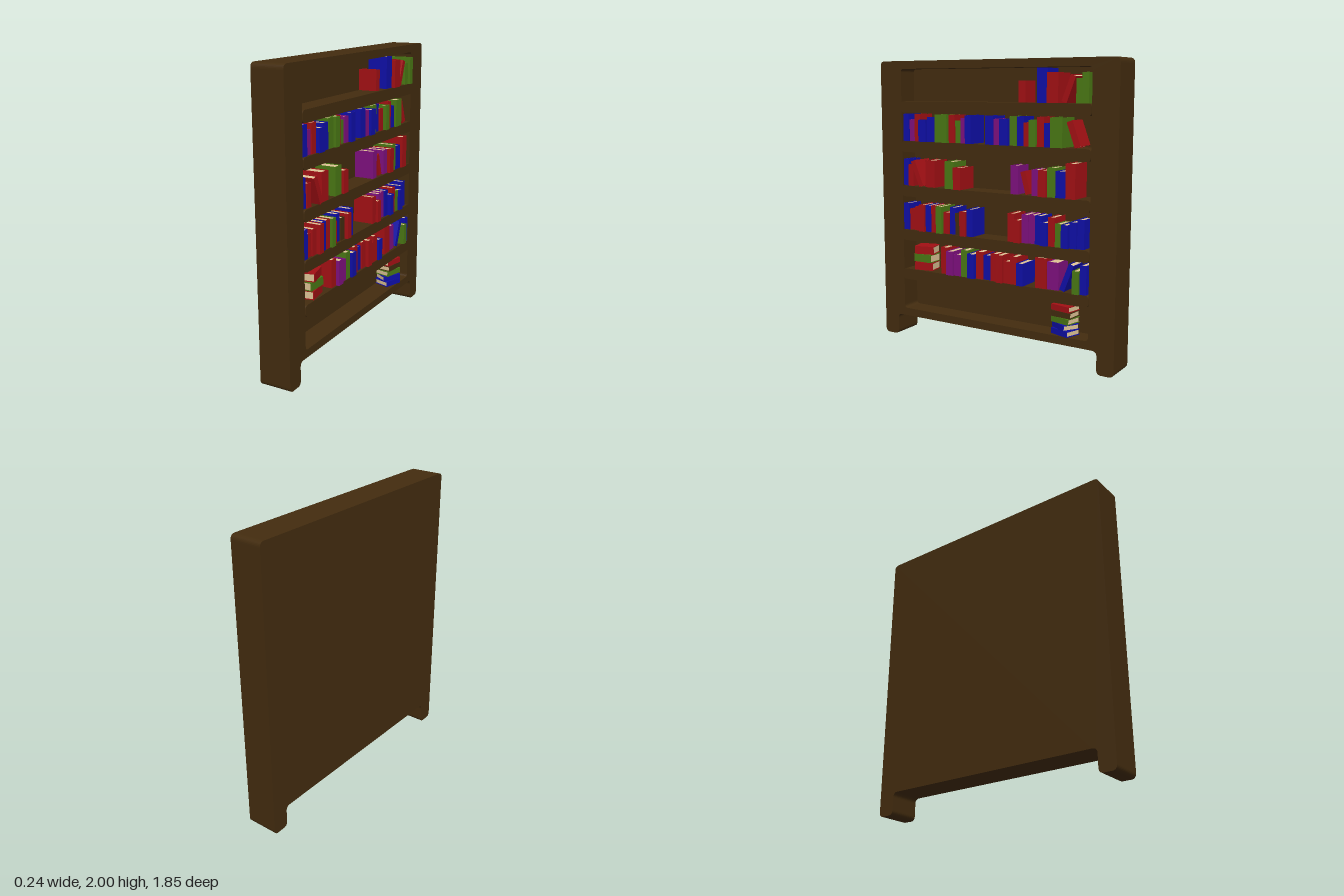
import * as THREE from 'three';
import { mergeGeometries } from 'three/addons/utils/BufferGeometryUtils.js';

const mat = (name, color) => Object.assign(new THREE.MeshStandardMaterial({ color }), { name });
const wood = mat('dark wood', 0x432c0f);
const paper = mat('paper', 0xdcc294);
const covers = {
  R: mat('red cover', 0xa31014),
  B: mat('blue cover', 0x0f0fa8),
  G: mat('green cover', 0x4a7814),
  P: mat('purple cover', 0x7f107f),
  W: wood,
};

const BACK = -0.125, INNER = -0.05, FRONT = 0.097;

// Closed outline with every corner rounded by r; corners are [u, y]
function roundedOutline(corners, r, Type = THREE.Shape) {
  const shape = new Type();
  const points = corners.map(([x, y]) => new THREE.Vector2(x, y));
  points.forEach((p, i) => {
    const toward = (q) => q.clone().sub(p).setLength(r).add(p);
    const a = toward(points.at(i - 1));
    const b = toward(points[(i + 1) % points.length]);
    if (i === 0) shape.moveTo(a.x, a.y); else shape.lineTo(a.x, a.y);
    shape.quadraticCurveTo(p.x, p.y, b.x, b.y);
  });
  shape.closePath();
  return shape;
}

const rect = (w, y0, y1) => [[-w, y0], [w, y0], [w, y1], [-w, y1]];

// Extrudes an outline drawn in the z-y plane from x0 to x1
function slab(name, shape, x0, x1) {
  const geo = new THREE.ExtrudeGeometry(shape, { depth: x1 - x0, bevelEnabled: false, curveSegments: 8 });
  geo.rotateY(Math.PI / 2).translate(x0, 0, 0);
  const mesh = new THREE.Mesh(geo, wood);
  mesh.name = name;
  return mesh;
}

// Book centred on its origin: spine toward +x, thickness w along z
function makeBook(colour, w, h, d) {
  const t = 0.005;
  const board = (z) => new THREE.BoxGeometry(d, h, t).translate(0, 0, z);
  const spine = new THREE.BoxGeometry(t, h, w - 2 * t).translate(d / 2 - t / 2, 0, 0);
  const cover = new THREE.Mesh(mergeGeometries([board(w / 2 - t / 2), board(t / 2 - w / 2), spine]), covers[colour]);
  cover.name = 'cover';
  const pages = new THREE.Mesh(new THREE.BoxGeometry(d - 2 * t, h - 2 * t, w - 2 * t), paper);
  pages.name = 'pages';
  const book = new THREE.Group();
  book.name = 'book';
  book.add(cover, pages);
  return book;
}

export function createModel() {
  const model = new THREE.Group();
  model.name = 'bookcase';

  // Carcass: solid back and open frame sharing the footed outline
  const outline = () => roundedOutline([
    [-0.925, 0], [-0.805, 0], [-0.805, 0.155], [0.805, 0.155],
    [0.805, 0], [0.925, 0], [0.925, 2], [-0.925, 2],
  ], 0.035);
  const frame = outline();
  frame.holes.push(roundedOutline(rect(0.743, 0.21, 1.945), 0.025, THREE.Path));
  model.add(slab('backPanel', outline(), BACK, INNER), slab('frame', frame, INNER, FRONT));

  // Shelves
  const [top, upper, middle, lower, bottom] = [1.72, 1.44, 1.12, 0.8, 0.51].map((y) => {
    model.add(slab('shelf', roundedOutline(rect(0.743, y - 0.078, y), 0.025), INNER - 0.01, 0.102));
    return y;
  });

  // One standing book centred at z, its spine a little proud or recessed by turns
  let count = 0;
  function stand(y, z, colour, w, h, lean = 0) {
    const spineX = 0.084 + 0.008 * ((count * count) % 7 % 5);
    count++;
    const depth = spineX - INNER;
    const a = THREE.MathUtils.degToRad(lean);
    const book = makeBook(colour, w, h, depth);
    book.rotation.x = a;
    book.position.set(spineX - depth / 2, y + (h * Math.cos(a) + w * Math.abs(Math.sin(a))) / 2, z);
    model.add(book);
  }

  // A row filling z0 down to z1, one letter per cover colour:
  // small letter = short, ~ = slightly lower, each + = wider
  function row(y, z0, z1, books, height = 0.191) {
    const tokens = books.match(/[a-z][+~]*/gi);
    const weights = tokens.map((k) => 1.3 ** (k.split('+').length - 1));
    const unit = (z0 - z1) / weights.reduce((sum, v) => sum + v, 0);
    let z = z0;
    tokens.forEach((k, i) => {
      const w = weights[i] * unit;
      const colour = k[0].toUpperCase();
      const scale = k[0] !== colour ? 0.8 : k.includes('~') ? 0.9 : 1;
      stand(y, z - w / 2, colour, w - 0.002, height * scale);
      z -= w;
    });
  }

  row(top, -0.212, -0.266, 'R', 0.142);
  row(top, -0.353, -0.435, 'B', 0.22);
  row(top, -0.437, -0.52, 'R');
  stand(top, -0.584, 'R', 0.037, 0.178, -21);
  row(top, -0.635, -0.732, 'gG');

  row(upper, 0.733, 0.138, 'BpRb+B~+G+GRgP~B');
  row(upper, 0.037, -0.552, 'B+P~B~+GBrG~RbG++');
  stand(upper, -0.618, 'R', 0.043, 0.172, 20);

  row(middle, 0.742, 0.647, 'Br');
  stand(middle, 0.599, 'R', 0.037, 0.19, 22);
  row(middle, 0.537, 0.456, 'R');
  row(middle, 0.371, 0.228, 'G+r');
  row(middle, -0.159, -0.217, 'P');
  stand(middle, -0.268, 'R', 0.037, 0.155, 15);
  row(middle, -0.318, -0.575, 'P~R~GB~+');
  row(middle, -0.577, -0.647, 'R', 0.226);

  row(lower, 0.742, 0.138, 'BrR~RBRGrBwR~B');
  row(lower, -0.143, -0.7, 'RrPPBbRgbB~B');

  row(bottom, 0.414, 0, 'RP~pGB~RB~');
  row(bottom, -0.003, -0.27, 'RRrRb');
  row(bottom, -0.35, -0.52, 'RP~', 0.205);
  stand(bottom, -0.581, 'B', 0.037, 0.19, -21);
  row(bottom, -0.631, -0.727, 'gB');

  // Stack of lying books from the bottom up, each turned by its own angle
  function stack(y, z, thickness, colours, turns) {
    turns.forEach((degrees, i) => {
      const book = makeBook(colours[i], thickness - 0.002, 0.145, 0.12);
      book.rotation.x = Math.PI / 2;
      const turned = new THREE.Group();
      turned.name = 'lyingBook';
      turned.add(book);
      turned.rotation.y = THREE.MathUtils.degToRad(degrees);
      turned.position.set(0.028, y + (i + 0.5) * thickness, z);
      model.add(turned);
    });
  }

  stack(bottom, 0.582, 0.059, 'RGR', [10, 0, 14]);
  stack(0.21, -0.546, 0.041, 'BBGWR', [-18, -32, -14, -6, -12]);

  return model;
}
